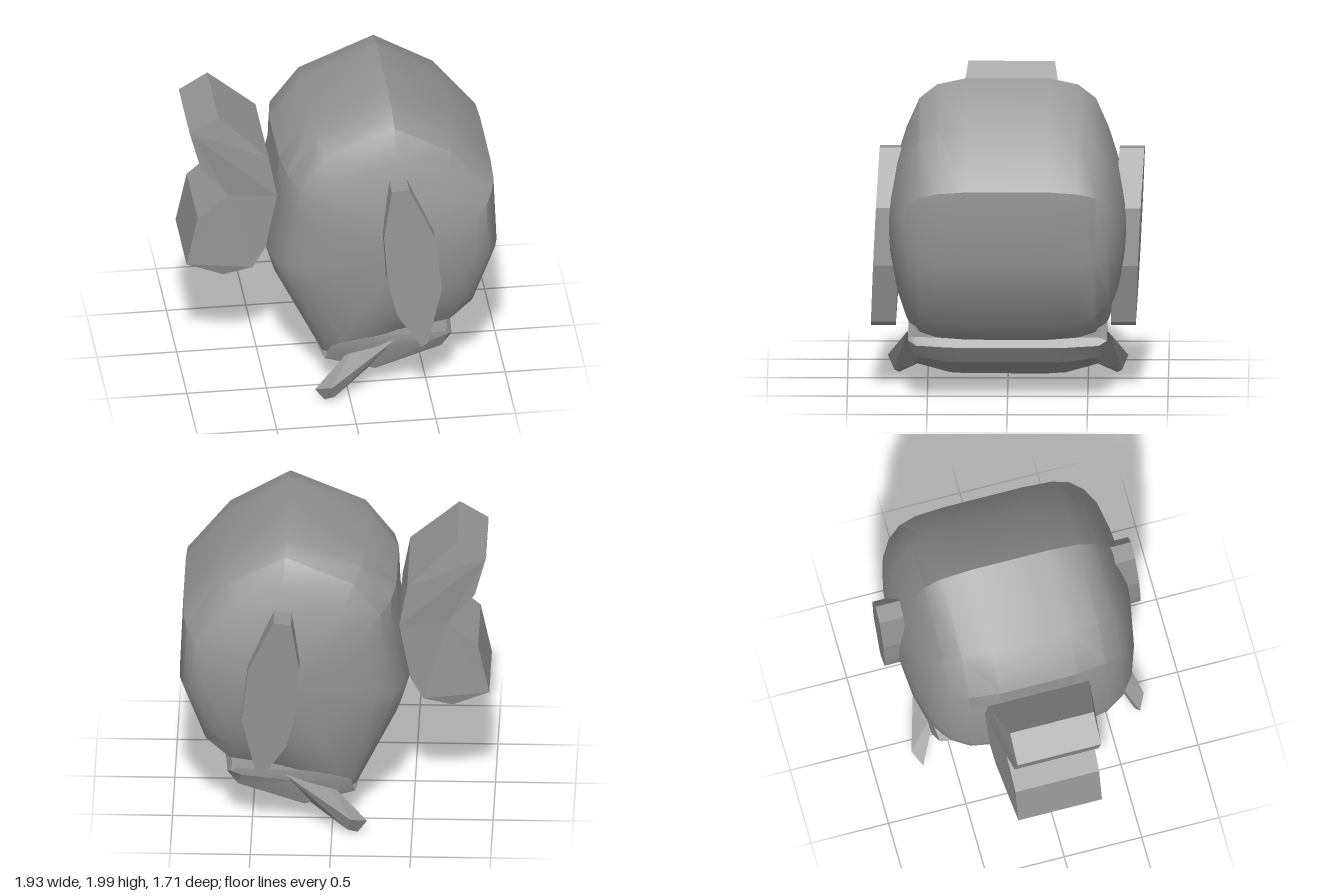
import * as THREE from 'three';
import { toCreasedNormals } from 'three/addons/utils/BufferGeometryUtils.js';
import { ConvexGeometry } from 'three/addons/geometries/ConvexGeometry.js';

// Skins a list of rings (equal length, counter-clockwise, running from -z to +z) and closes both ends.
function loft(rings, crease) {
  const n = rings[0].length, pos = rings.flat(2), index = [];
  for (let r = 0; r < rings.length - 1; r++)
    for (let i = 0; i < n; i++) {
      const a = r * n + i, b = r * n + (i + 1) % n;
      index.push(a, b, b + n, a, b + n, a + n);
    }
  const cap = (r, flip) => {
    const c = pos.length / 3;
    for (let k = 0; k < 3; k++) pos.push(rings[r].reduce((s, p) => s + p[k], 0) / n);
    for (let i = 0; i < n; i++) {
      const a = r * n + i, b = r * n + (i + 1) % n;
      index.push(c, flip ? b : a, flip ? a : b);
    }
  };
  cap(0, true);
  cap(rings.length - 1, false);
  const g = new THREE.BufferGeometry();
  g.setAttribute('position', new THREE.Float32BufferAttribute(pos, 3));
  g.setIndex(index);
  return toCreasedNormals(g, crease);
}

// Extrudes an outline from z = -0.5 to 0.5, then places each vertex by a rule.
function plate(points, rule) {
  const shape = new THREE.Shape(points.map(p => new THREE.Vector2(...p)));
  const g = new THREE.ExtrudeGeometry(shape, { depth: 1, bevelEnabled: false });
  const p = g.attributes.position;
  for (let i = 0; i < p.count; i++) p.setZ(i, rule(p.getX(i), p.getY(i), p.getZ(i) - 0.5));
  g.computeVertexNormals();
  return g;
}

// Repeats half a set of layers on the -z side.
const bothSides = half => [
  ...half.map(([z, ...s]) => [-z, ...s]).reverse(),
  ...half,
];

export function createModel() {
  const model = new THREE.Group();
  const grey = new THREE.MeshStandardMaterial({ color: 0x949494 });
  grey.name = 'grey';
  const add = (name, geometry) => {
    const m = new THREE.Mesh(geometry, grey);
    m.name = name;
    model.add(m);
  };

  // Body: one side outline, shrunk towards the rounded flanks
  const outline = [
    [0.29, 2.0], [0.67, 1.77], [0.94, 1.42], [0.96, 0.95], [0.81, 0.55], [0.66, 0.41],
    [0.3, 0.35], [0.1, 0.22], [-0.16, 0.2], [-0.42, 0.72], [-0.48, 0.92], [-0.4, 1.3],
    [-0.39, 1.54], [-0.2, 1.79],
  ].reverse();
  // z, then scale towards the nose, tail, top and belly
  const layers = bothSides([
    [0.25, 1, 1, 1, 1],
    [0.44, 0.99, 0.96, 0.955, 0.98],
    [0.55, 0.95, 0.88, 0.86, 0.93],
    [0.63, 0.87, 0.76, 0.66, 0.76],
    [0.69, 0.73, 0.56, 0.45, 0.54],
    [0.73, 0.45, 0.3, 0.24, 0.28],
    [0.745, 0.2, 0.12, 0.1, 0.12],
  ]);
  const cx = 0.36, cy = 1.1;
  add('body', loft(layers.map(([z, nose, tail, top, belly]) => outline.map(([x, y]) => [
    cx + (x - cx) * (x > cx ? nose : tail),
    cy + (y - cy) * (y > cy ? top : belly),
    z,
  ])), 0.6));

  // Lower jaw: a shallow scoop under the body
  const jaw = [[0.64, 0.42], [0.67, 0.36], [0.6, 0.25], [0.17, 0.08], [-0.16, 0.2], [0.1, 0.38]].reverse();
  const jawLayers = bothSides([[0.25, 1, 0], [0.36, 1, 0.02], [0.57, 0.96, 0.2], [0.62, 0.9, 0.75]]);
  add('lowerJaw', loft(jawLayers.map(([z, s, lift]) => jaw.map(([x, y]) => [
    0.3 + (x - 0.3) * s, y + (0.41 - y) * lift, z,
  ])), 0.5));

  // Tail: forked slab, wider where it meets the body
  add('tail', plate([
    [-0.77, 1.86], [-0.46, 1.57], [-0.41, 1.3], [-0.48, 0.92], [-0.56, 0.77], [-0.74, 0.71],
    [-0.97, 0.8], [-0.9, 1.13], [-0.71, 1.29], [-0.88, 1.49], [-0.95, 1.75],
  ].reverse(), (x, y, t) => -0.018 + t * (0.54 + 0.4 * Math.max(0, x + 0.74))));

  // Side fins: upright blades, both leaning the same way
  const fin = [
    [0.25, 1.56], [0.36, 1.57], [0.52, 1.22], [0.56, 0.86], [0.47, 0.48],
    [0.43, 0.45], [0.28, 0.68], [0.22, 0.92], [0.2, 1.24],
  ].reverse();
  for (const [name, side] of [['leftSideFin', 1], ['rightSideFin', -1]])
    add(name, plate(fin, (x, y, t) => side * 0.748 - 0.045 * (y - 1) + 0.04 * (x - 0.38) + t * 0.155));

  // Lower fins: short bars swept back from the jaw corners
  const bar = [
    [0.3, 0.39, 0.6], [0.05, 0.32, 0.55], [0.13, 0.14, 0.55], [0.28, 0.37, 0.63],
    [-0.22, 0.1, 0.7], [-0.16, 0.01, 0.68], [-0.12, 0.13, 0.75], [-0.1, 0.04, 0.71],
  ];
  for (const [name, side] of [['leftLowerFin', 1], ['rightLowerFin', -1]])
    add(name, new ConvexGeometry(bar.map(([x, y, z]) => new THREE.Vector3(x, y, z * side))));

  return model;
}
